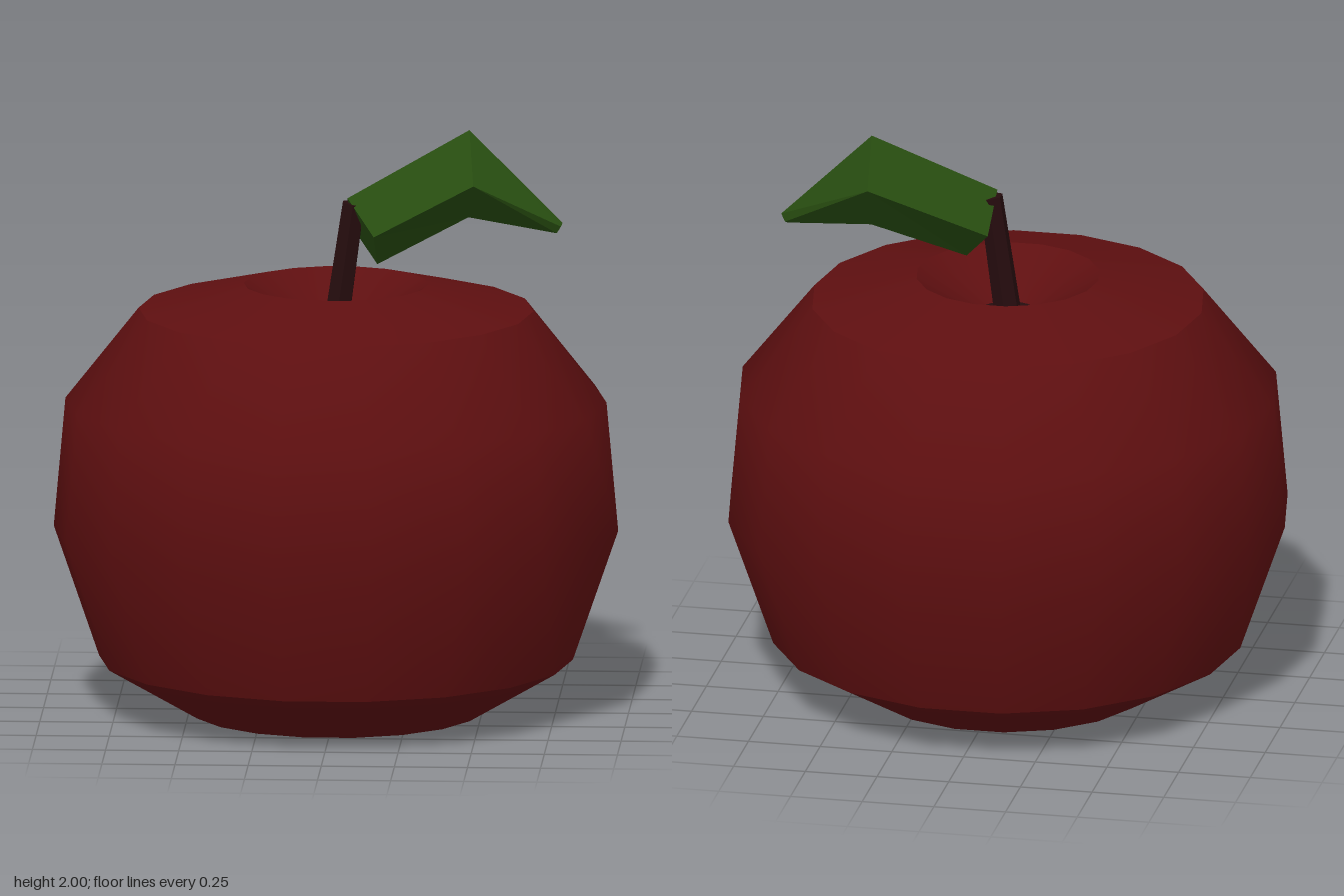
import * as THREE from 'three';

const paint = (name, color, extra = {}) => {
  const m = new THREE.MeshStandardMaterial({ color, ...extra });
  m.name = name;
  return m;
};

export function createModel() {
  const group = new THREE.Group();
  group.name = 'apple';
  const red = paint('apple red', 0x5e0f10);
  const brown = paint('stem brown', 0x250c0e, { flatShading: true });
  const green = paint('leaf green', 0x274c10, { flatShading: true });

  const add = (name, geometry, material) => {
    const mesh = new THREE.Mesh(geometry, material);
    mesh.name = name;
    group.add(mesh);
    return mesh;
  };

  // Apple skin: smooth lathed bands with hard creases between them
  const bands = {
    appleBottom: [[0, 0], [0.495, 0], [0.81, 0.185]],
    appleSide: [[0.81, 0.185], [0.965, 0.635], [0.925, 1.08], [0.675, 1.395]],
    appleShoulder: [[0.675, 1.395], [0.315, 1.485]],
    applePit: [[0.315, 1.485], [0.1, 1.35]],
  };
  for (const [name, profile] of Object.entries(bands)) {
    const points = profile.map(([r, y]) => new THREE.Vector2(r, y));
    add(name, new THREE.LatheGeometry(points, 18, Math.PI / 2), red);
  }

  // Dark floor of the pit
  const floor = add('pitFloor', new THREE.CircleGeometry(0.1, 18), brown);
  floor.rotation.x = -Math.PI / 2;
  floor.position.y = 1.35;

  // Leaning stem
  const foot = new THREE.Vector3(0, 1.34, 0);
  const lean = new THREE.Vector3(0.06, 1.765, 0).sub(foot);
  const stem = add('stem', new THREE.CylinderGeometry(0.042, 0.048, lean.length(), 6), brown);
  stem.position.copy(foot).addScaledVector(lean, 0.5);
  stem.quaternion.setFromUnitVectors(new THREE.Vector3(0, 1, 0), lean.clone().normalize());

  // Bent leaf: four-cornered sections (top, front, bottom, back) from stem to tip
  const sections = [
    [[0.04, 1.785, 0.015], [0.135, 1.67, 0.12], [0.14, 1.55, -0.02], [0.045, 1.665, -0.125]],
    [[0.45, 2, -0.12], [0.47, 1.83, 0.015], [0.445, 1.69, -0.155], [0.43, 1.86, -0.29]],
    [[0.77, 1.685, -0.1], [0.765, 1.675, -0.08], [0.75, 1.65, -0.09], [0.755, 1.66, -0.11]],
  ];
  const positions = [];
  const quad = (a, b, c, d) => positions.push(...a, ...b, ...c, ...a, ...c, ...d);
  for (let s = 0; s < 2; s++) {
    const [p, q] = [sections[s], sections[s + 1]];
    for (let i = 0; i < 4; i++) {
      const j = (i + 1) % 4;
      quad(p[i], p[j], q[j], q[i]);
    }
  }
  quad(...[...sections[0]].reverse());
  quad(...sections[2]);
  const leaf = new THREE.BufferGeometry();
  leaf.setAttribute('position', new THREE.Float32BufferAttribute(positions, 3));
  leaf.computeVertexNormals();
  add('leaf', leaf, green);

  return group;
}
